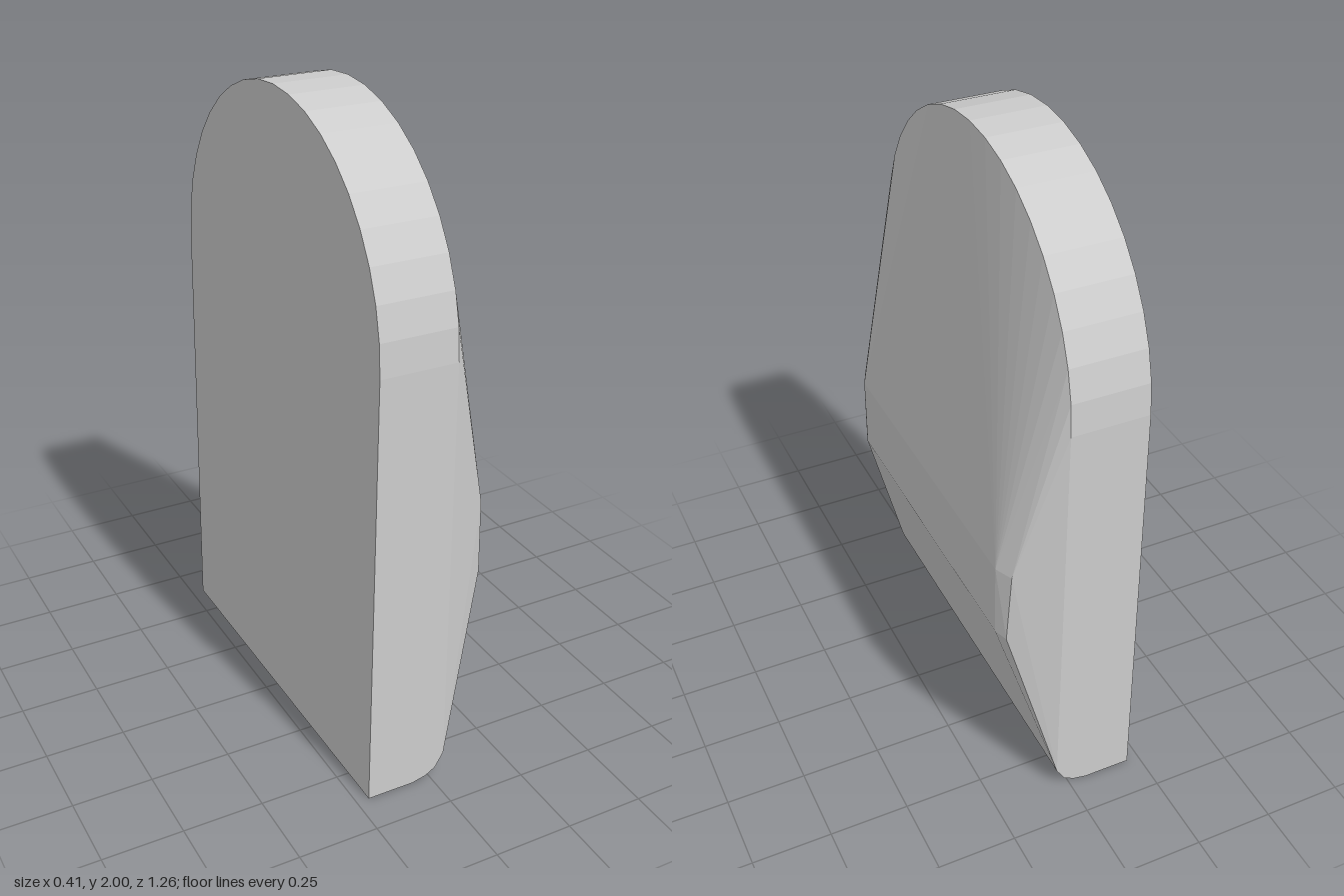
import * as THREE from 'three';
import { ConvexGeometry } from 'three/addons/geometries/ConvexGeometry.js';

export function createModel() {
  const group = new THREE.Group();
  group.name = 'archedBlock';
  const lightGrey = new THREE.MeshStandardMaterial({ color: 0xcccccc });
  lightGrey.name = 'lightGrey';

  const half = 0.628, springY = 1.372, rimX = 0.045;
  const points = [];
  const add = (x, y, z) => points.push(new THREE.Vector3(x, y, z));
  // the back leans slightly forward towards the top
  const backX = (y) => -0.21 + 0.0115 * y;

  // arched rim, front and back
  const segments = 20;
  for (let i = 0; i <= segments; i++) {
    const a = (i / segments) * Math.PI;
    const y = springY + half * Math.sin(a), z = half * Math.cos(a);
    add(backX(y), y, z);
    add(rimX, y, z);
  }

  for (const s of [-1, 1]) {
    // foot with a rounded lower edge
    for (const [x, y] of [[-0.21, 0], [-0.06, 0], [-0.015, 0.01], [0.018, 0.03], [rimX, 0.075]]) {
      add(x, y, s * half);
    }
    // raised ridge with chamfered ends
    add(0.205, 0.88, s * 0.51);
    add(0.205, 0.64, s * 0.51);
    add(0.18, 0.88, s * 0.565);
    add(0.19, 0.64, s * 0.555);
  }

  const body = new THREE.Mesh(new ConvexGeometry(points), lightGrey);
  body.name = 'body';
  group.add(body);
  return group;
}
